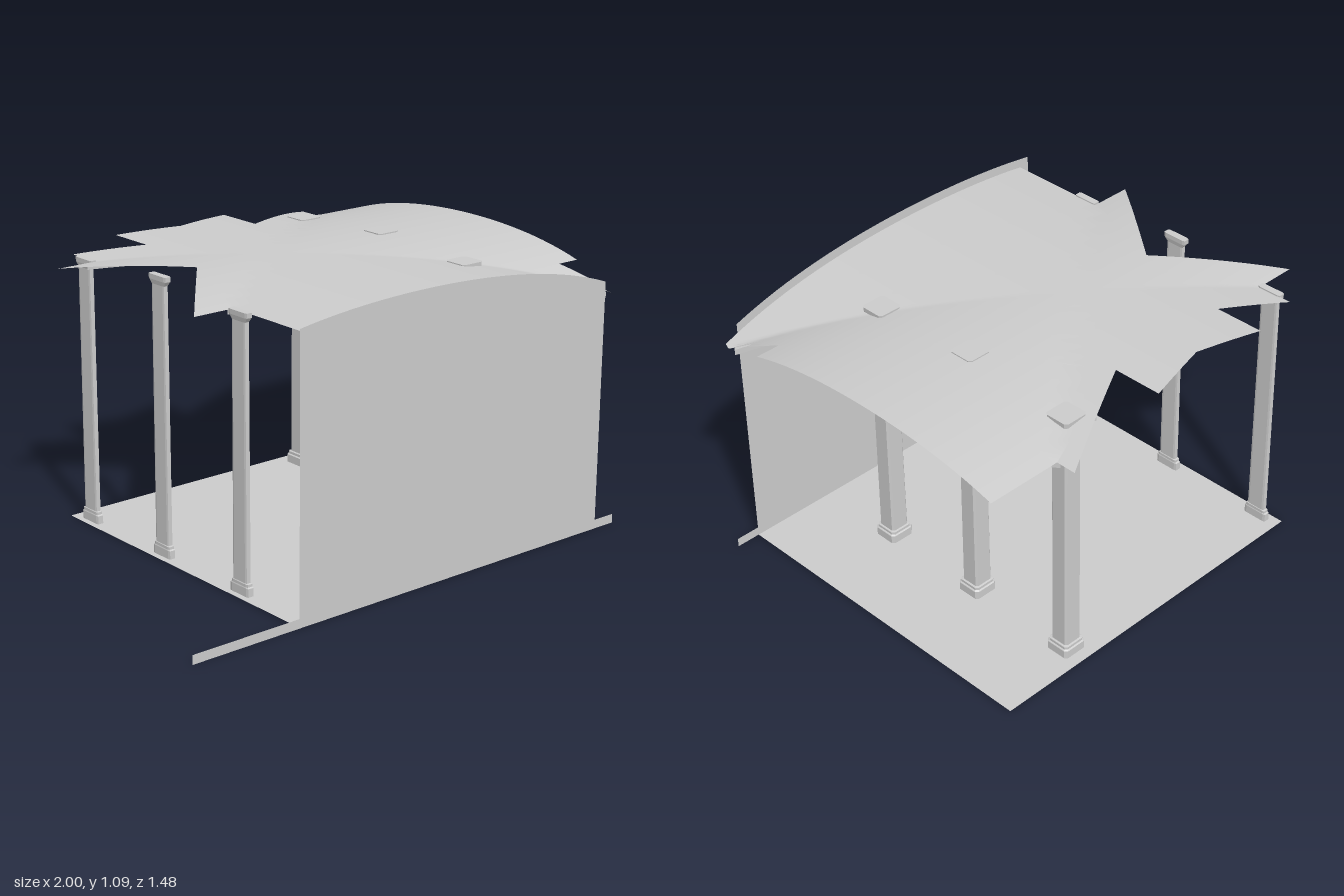
import * as THREE from 'three';
import { mergeVertices } from 'three/addons/utils/BufferGeometryUtils.js';

const flat = new THREE.MeshStandardMaterial({ color: 0xcccccc, flatShading: true, side: THREE.DoubleSide });
const smooth = new THREE.MeshStandardMaterial({ color: 0xcccccc, side: THREE.DoubleSide });

const WALL_Z = 0.733, CROSS_Z = -0.085, GROIN = 0.81;
const X0 = -0.545, X1 = 0.905, Z0 = -0.63;

// Drop of a barrel vault at distance d from its ridge
const drop = d => 0.115 * d * d + 0.05 * d ** 4;
// Two crossing barrel vaults
const vaultY = (x, z) => 1.056 - Math.min(drop(x), drop((z - CROSS_Z) / GROIN));

function add(parent, name, geometry, material) {
  const mesh = new THREE.Mesh(geometry, material);
  mesh.name = name;
  parent.add(mesh);
  return mesh;
}

// Split every triangle into four
function subdivide(tris) {
  const out = [];
  for (const [a, b, c] of tris) {
    const ab = a.clone().lerp(b, 0.5), bc = b.clone().lerp(c, 0.5), ca = c.clone().lerp(a, 0.5);
    out.push([a, ab, ca], [ab, b, bc], [ca, bc, c], [ab, bc, ca]);
  }
  return out;
}

// Broken vault shell: jagged outline, refined and lifted to the vault surface
function vaultGeometry() {
  const outline = [
    [-0.5, -0.63], [-0.26, -0.5], [-0.26, -0.695], [0, -0.63], [0.26, -0.695], [0.26, -0.5],
    [0.705, -0.74], [0.705, -0.66], [1, -0.66], [1, 0.5], [0.905, 0.5], [0.95, 0.62],
    [0.925, 0.625], [0.97, 0.705], [0.962, 0.73], [-0.5, 0.73], [-0.5, 0.325],
    [-0.665, 0.325], [-0.335, -0.09], [-0.665, -0.49], [-0.5, -0.49],
  ].map(([x, z]) => new THREE.Vector2(x, -z));
  const p = new THREE.ShapeGeometry(new THREE.Shape(outline)).toNonIndexed().attributes.position;
  let tris = [];
  for (let i = 0; i < p.count; i += 3) {
    tris.push([0, 1, 2].map(k => new THREE.Vector2(p.getX(i + k), p.getY(i + k))));
  }
  for (let n = 0; n < 5; n++) tris = subdivide(tris);
  const verts = tris.flat().flatMap(v => [v.x, vaultY(v.x, -v.y), -v.y]);
  const g = new THREE.BufferGeometry();
  g.setAttribute('position', new THREE.Float32BufferAttribute(verts, 3));
  const merged = mergeVertices(g, 1e-5);
  merged.computeVertexNormals();
  return merged;
}

// Rib under a groin, from x = a to x = b on the diagonal with the given sign
function ribGeometry(a, b, sign) {
  const steps = 28, len = Math.hypot(1, GROIN), top = [], bottom = [];
  for (let i = 0; i <= steps; i++) {
    const x = a + (b - a) * i / steps, y = 1.056 - drop(x);
    top.push(new THREE.Vector2(x * len, y - 0.002));
    bottom.unshift(new THREE.Vector2(x * len, y - 0.024));
  }
  const g = new THREE.ExtrudeGeometry(new THREE.Shape([...top, ...bottom]), { depth: 0.03, bevelEnabled: false });
  g.translate(0, 0, -0.015);
  g.rotateY(Math.atan2(-sign * GROIN, 1));
  g.translate(0, 0, CROSS_Z);
  return g;
}

// Column with chamfered square section, from a profile of half widths
function columnGeometry(h) {
  const profile = [
    [0, 0], [0.05, 0], [0.05, 0.034], [0.045, 0.038], [0.045, 0.048], [0.038, 0.05],
    [0.036, h - 0.035], [0.049, h - 0.018], [0.05, h], [0, h],
  ].map(([r, y]) => new THREE.Vector2(r, y));
  const c = 0.8;
  const ring = [[c, 1], [1, c], [1, -c], [c, -1], [-c, -1], [-1, -c], [-1, c], [-c, 1]];
  const g = new THREE.LatheGeometry(profile, 8), p = g.attributes.position;
  for (let i = 0; i < p.count; i++) {
    const [x, z] = ring[Math.floor(i / profile.length) % 8], r = profile[i % profile.length].x;
    p.setX(i, r * x);
    p.setZ(i, r * z);
  }
  g.computeVertexNormals();
  return g;
}

export function createModel() {
  const model = new THREE.Group();
  model.name = 'ruinedPavilion';

  // Floor
  const floor = add(model, 'floor', new THREE.PlaneGeometry(X1 - X0, WALL_Z - Z0), flat);
  floor.rotation.x = -Math.PI / 2;
  floor.position.set((X0 + X1) / 2, 0.002, (WALL_Z + Z0) / 2);

  // Front wall with an arched top
  const wall = new THREE.Shape();
  wall.moveTo(X0, 0);
  wall.lineTo(X1, 0);
  for (let i = 0; i <= 32; i++) {
    const x = X1 + (X0 - X1) * i / 32;
    wall.lineTo(x, 1.09 - drop(x));
  }
  add(model, 'frontWall', new THREE.ShapeGeometry(wall), flat).position.z = WALL_Z;

  // Low kerb along the wall foot
  const kerb = add(model, 'kerb', new THREE.PlaneGeometry(2, 0.035), flat);
  kerb.position.set(0, 0.0175, WALL_Z + 0.002);

  // Vault and its diagonal ribs
  add(model, 'vault', vaultGeometry(), smooth);
  add(model, 'longRib', ribGeometry(-0.52, 0.955, 1), flat);
  add(model, 'shortRib', ribGeometry(-0.5, 0.705, -1), flat);

  // Full columns on one side, thin pilasters on the other
  for (const [z, h] of [[0.375, 1.03], [-0.08, 1.06], [-0.535, 1.03]]) {
    const g = columnGeometry(h);
    add(model, 'column', g, flat).position.set(0.535, 0, z);
    const pilaster = add(model, 'pilaster', g, flat);
    pilaster.scale.x = 0.28;
    pilaster.position.set(-0.508, 0, z);
  }
  return model;
}
